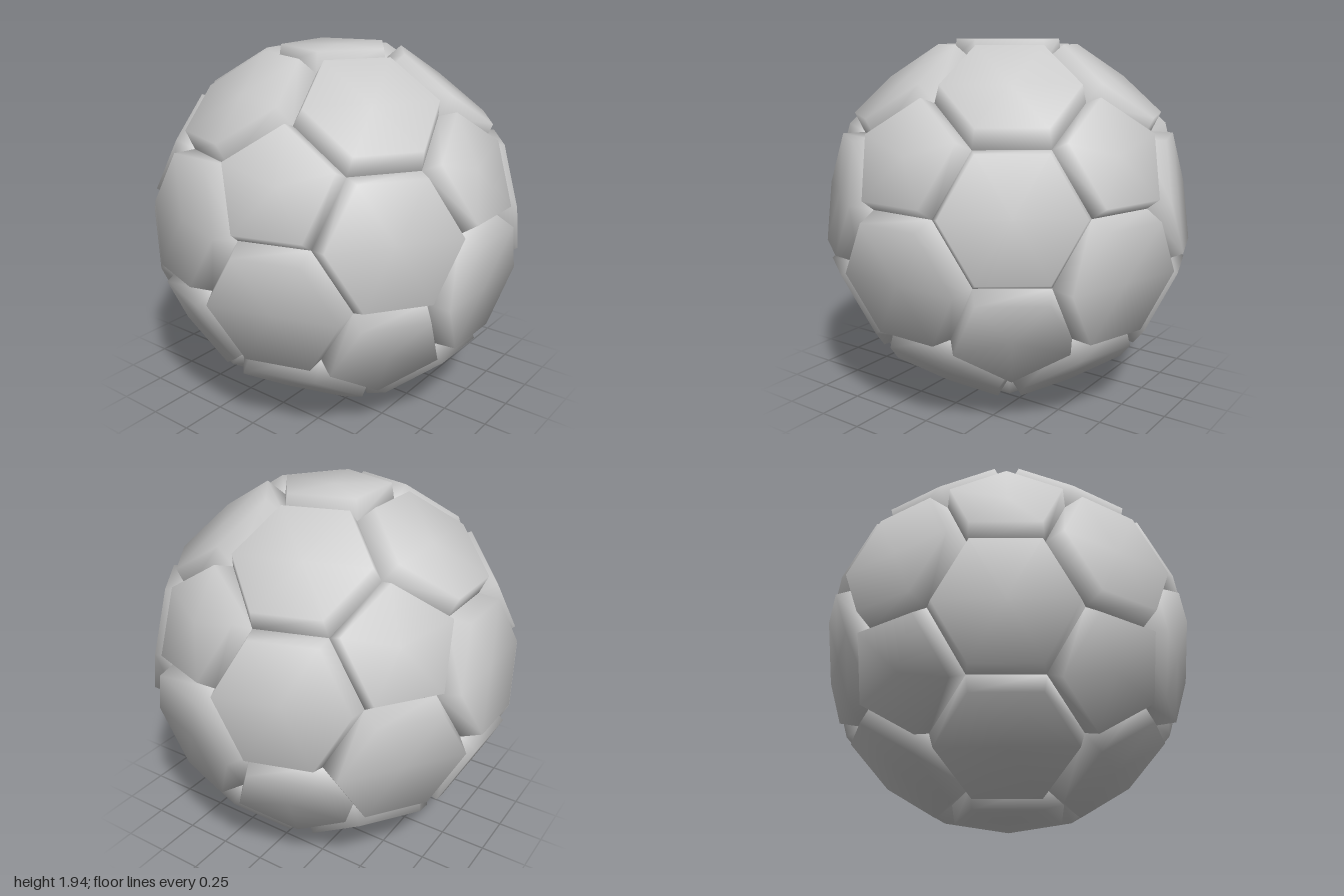
import * as THREE from 'three';

const EDGE = 0.37;        // edge of the core solid in the seam valleys
const CENTRE_Y = 0.968;

// Raised panel: smooth-shaded cap and steep walls down to the seam valley
function panelGeometry(corners, height, capScale) {
  const n = corners.reduce((s, c) => s.add(c), new THREE.Vector3()).normalize();
  const flat = (c) => c.clone().addScaledVector(n, -c.dot(n));
  const u = flat(corners[0]).normalize();
  const w = n.clone().cross(u);
  const angle = (c) => Math.atan2(c.dot(w), c.dot(u));
  const base = [...corners].sort((a, b) => angle(a) - angle(b));
  const cap = base.map((c) => flat(c).multiplyScalar(capScale).addScaledVector(n, height));
  const points = [n.clone().multiplyScalar(height), ...cap, ...base];
  const k = base.length;
  const index = [];
  for (let i = 0; i < k; i++) {
    const j = (i + 1) % k;
    const t0 = 1 + i, t1 = 1 + j, b0 = 1 + k + i, b1 = 1 + k + j;
    index.push(0, t0, t1, b0, b1, t1, b0, t1, t0);
  }
  const g = new THREE.BufferGeometry().setFromPoints(points);
  g.setIndex(index);
  g.computeVertexNormals();
  return g;
}

export function createModel() {
  const ball = new THREE.Group();
  ball.name = 'panelledBall';
  const grey = new THREE.MeshStandardMaterial({ color: 0xcccccc });
  grey.name = 'grey';

  // Icosahedron with one corner straight up and one straight down
  const R = EDGE * 3 * Math.sin(0.4 * Math.PI);
  const polar = Math.atan(2);
  const verts = [new THREE.Vector3(0, R, 0), new THREE.Vector3(0, -R, 0)];
  for (let i = 0; i < 5; i++) {
    const a = (i * 2 * Math.PI) / 5;
    const v = new THREE.Vector3(Math.cos(a) * Math.sin(polar), Math.cos(polar), Math.sin(a) * Math.sin(polar));
    v.multiplyScalar(R);
    verts.push(v, v.clone().negate());
  }
  const adjacent = (a, b) => a !== b && a.dot(b) > 0.3 * R * R;
  const third = (a, b) => a.clone().lerp(b, 1 / 3);

  const add = (name, geometry) => {
    const mesh = new THREE.Mesh(geometry, grey);
    mesh.name = name;
    mesh.position.y = CENTRE_Y;
    ball.add(mesh);
  };

  // Pentagon panels sit on the cut corners
  verts.forEach((v) => {
    const corners = verts.filter((o) => adjacent(v, o)).map((o) => third(v, o));
    add('pentagonPanel', panelGeometry(corners, 0.968, 0.946));
  });

  // Hexagon panels sit on the faces
  for (let i = 0; i < 12; i++) for (let j = i + 1; j < 12; j++) for (let k = j + 1; k < 12; k++) {
    const [a, b, c] = [verts[i], verts[j], verts[k]];
    if (!adjacent(a, b) || !adjacent(b, c) || !adjacent(a, c)) continue;
    const corners = [third(a, b), third(b, a), third(b, c), third(c, b), third(c, a), third(a, c)];
    add('hexagonPanel', panelGeometry(corners, 0.957, 0.926));
  }
  return ball;
}
